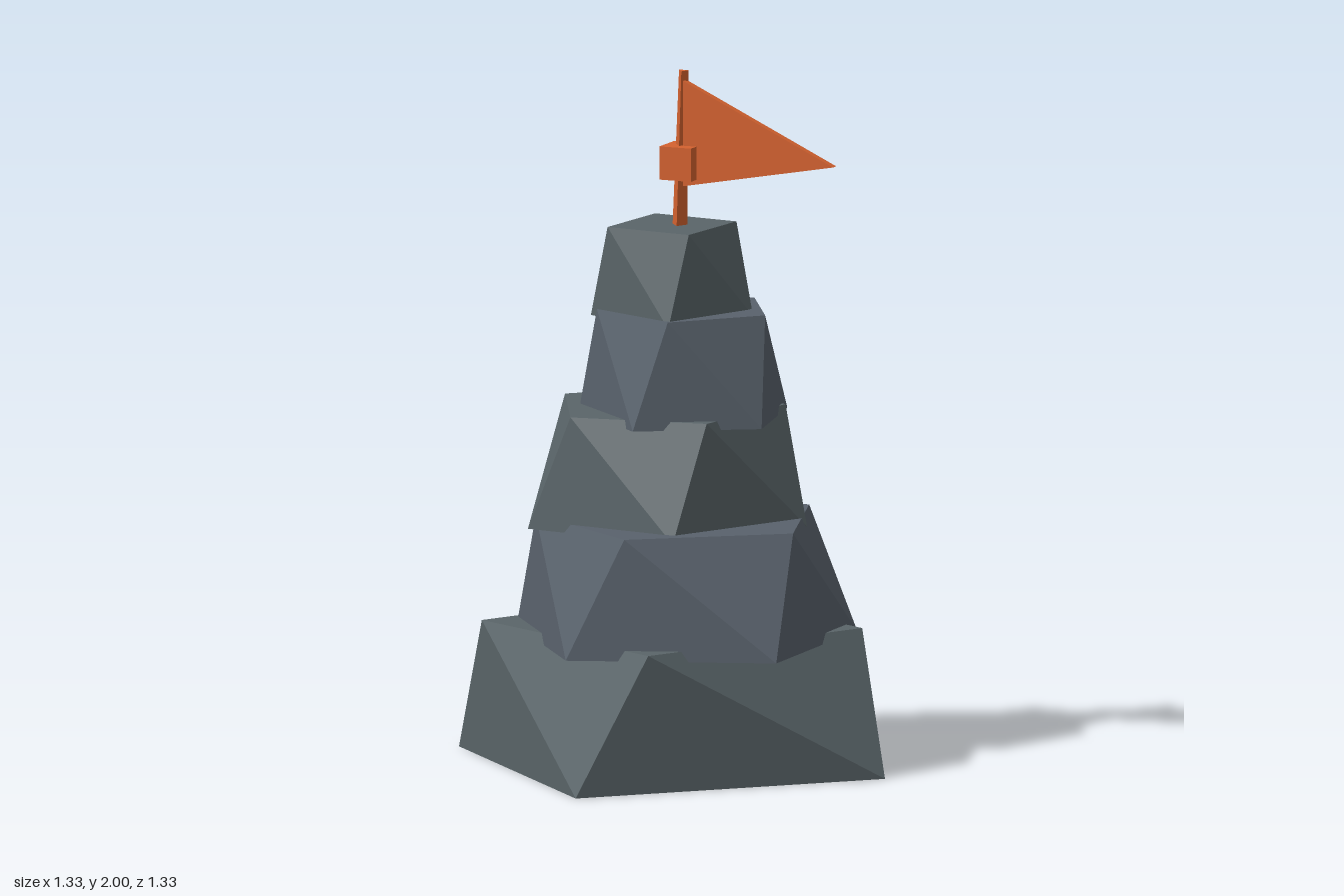
import * as THREE from 'three';

const material = (name, color) => {
  const m = new THREE.MeshStandardMaterial({ color, flatShading: true });
  m.name = name;
  return m;
};

// Regular polygon ring of [x, y, z] points, angle in degrees from the front towards +x
function ring(sides, radius, degrees, cx, y, cz) {
  return Array.from({ length: sides }, (_, i) => {
    const a = THREE.MathUtils.degToRad(degrees + (i * 360) / sides);
    return [cx + radius * Math.sin(a), y, cz + radius * Math.cos(a)];
  });
}

// Closed solid between two rings with the same number of points
function loft(bottom, top) {
  const n = bottom.length;
  const positions = [];
  const face = (...corners) => corners.forEach((p) => positions.push(...p));
  for (let i = 0; i < n; i++) {
    const j = (i + 1) % n;
    face(bottom[i], bottom[j], top[i]);
    face(bottom[j], top[j], top[i]);
    if (i > 0 && i < n - 1) {
      face(top[0], top[i], top[j]);
      face(bottom[0], bottom[j], bottom[i]);
    }
  }
  const g = new THREE.BufferGeometry();
  g.setAttribute('position', new THREE.Float32BufferAttribute(positions, 3));
  g.computeVertexNormals();
  return g;
}

export function createModel() {
  const model = new THREE.Group();
  model.name = 'rockCairn';
  const slate = material('slate', 0x5a6569);
  const blueSlate = material('blueSlate', 0x59626c);
  const orange = material('flagOrange', 0xd4622f);

  const add = (name, geometry, mat, parent = model) => {
    const mesh = new THREE.Mesh(geometry, mat);
    mesh.name = name;
    parent.add(mesh);
    return mesh;
  };

  // Stacked rocks: each narrows to 82% and twists as it rises
  const taper = 0.82;
  const twist = 17.2;
  const rocks = [
    { sides: 4, r: 0.665, angle: 0, x: 0, z: 0, y0: 0, y1: 0.4 },
    { sides: 5, r: 0.511, angle: -16.2, x: 0.05, z: 0.038, y0: 0.37, y1: 0.718 },
    { sides: 5, r: 0.418, angle: 27.3, x: -0.036, z: -0.032, y0: 0.693, y1: 1.025 },
    { sides: 5, r: 0.314, angle: -5.1, x: 0.034, z: -0.028, y0: 1.0, y1: 1.311 },
    { sides: 4, r: 0.231, angle: 21.7, x: 0, z: 0, y0: 1.29, y1: 1.554 },
  ];
  rocks.forEach(({ sides, r, angle, x, z, y0, y1 }, i) => {
    const geometry = loft(
      ring(sides, r, angle, x, y0, z),
      ring(sides, r * taper, angle + twist, x, y1, z),
    );
    add(`rock${i + 1}`, geometry, i % 2 ? blueSlate : slate);
  });

  const flag = new THREE.Group();
  flag.name = 'flag';
  model.add(flag);

  // Slightly leaning three-sided pole
  add('flagPole', loft(
    [[0.025, 1.53, 0.025], [0.042, 1.53, -0.012], [-0.005, 1.53, -0.013]],
    [[0.036, 2, 0.015], [0.047, 2, -0.01], [0.017, 2, -0.011]],
  ), orange, flag);

  // Square block around the pole
  const block = add('poleBlock', new THREE.BoxGeometry(0.098, 0.096, 0.098), orange, flag);
  block.position.set(0.032, 1.737, 0);

  // Triangular pennant
  const outline = new THREE.Shape([
    new THREE.Vector2(0.04, 1.972),
    new THREE.Vector2(0.04, 1.668),
    new THREE.Vector2(0.508, 1.755),
  ]);
  const pennant = new THREE.ExtrudeGeometry(outline, { depth: 0.022, bevelEnabled: false });
  add('pennant', pennant, orange, flag).position.z = -0.011;

  return model;
}
